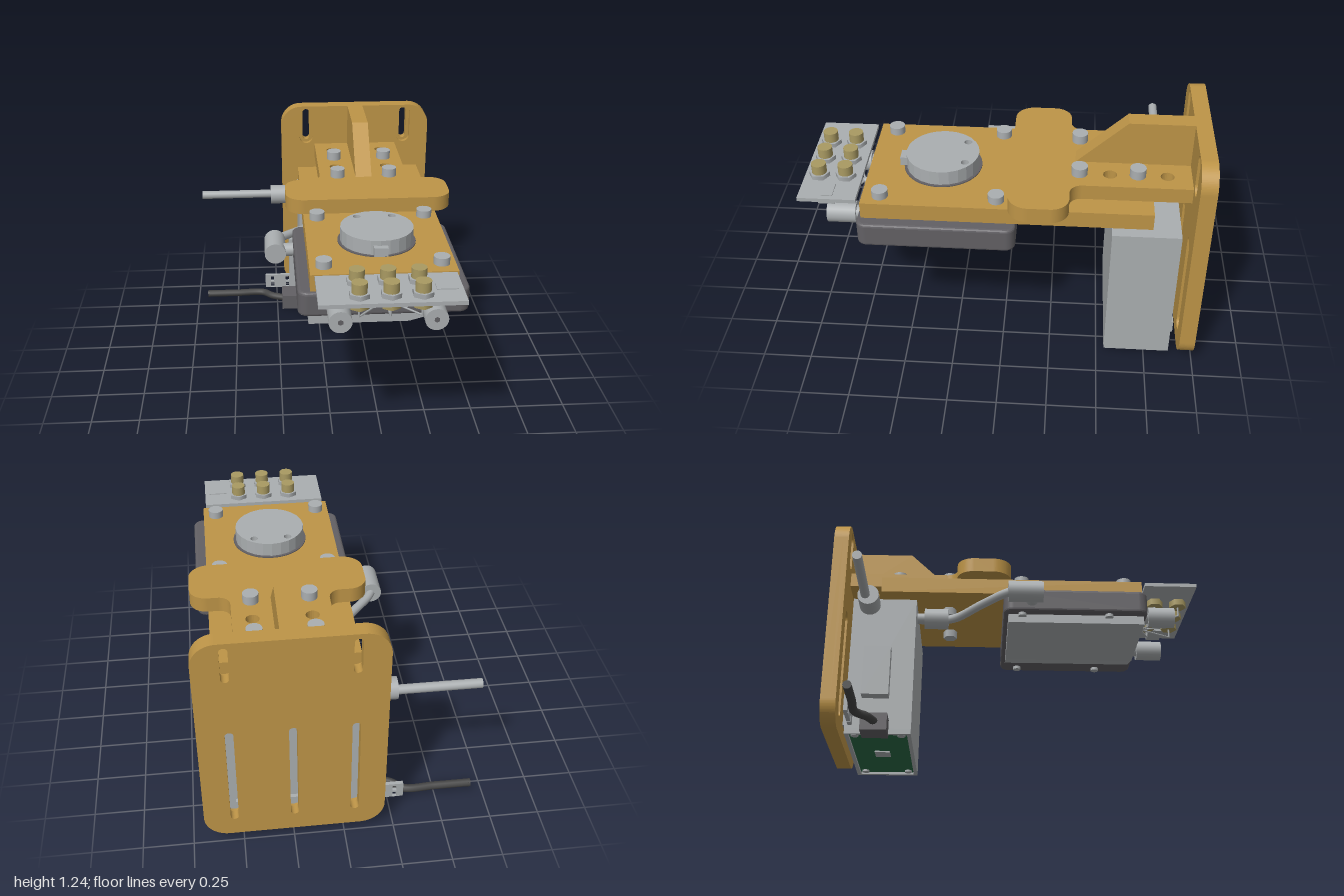
import * as THREE from 'three';

const mat = (name, color) => Object.assign(new THREE.MeshStandardMaterial({ color }), { name });

export function createModel() {
  const root = new THREE.Group();
  const tan = mat('tan bracket', 0xbd9447), grey = mat('light grey metal', 0xaaaeb0);
  const dark = mat('dark grey housing', 0x626064), black = mat('black cable', 0x454545);
  const gold = mat('brass', 0xa99a62), green = mat('green board', 0x2a6a46);

  const add = (name, geo, m) => {
    const mesh = new THREE.Mesh(geo, m);
    mesh.name = name;
    root.add(mesh);
    return mesh;
  };
  // Box given by its limits on each axis
  const box = (name, m, x0, x1, y0, y1, z0, z1) =>
    add(name, new THREE.BoxGeometry(x1 - x0, y1 - y0, z1 - z0), m)
      .position.set((x0 + x1) / 2, (y0 + y1) / 2, (z0 + z1) / 2);
  // Cylinder between two points
  const rod = (name, m, a, b, r, sides = 24) => {
    const p = new THREE.Vector3(...a), q = new THREE.Vector3(...b);
    const mesh = add(name, new THREE.CylinderGeometry(r, r, p.distanceTo(q), sides), m);
    mesh.position.copy(p).lerp(q, 0.5);
    mesh.quaternion.setFromUnitVectors(new THREE.Vector3(0, 1, 0), q.sub(p).normalize());
  };
  const tube = (name, m, pts, r) => add(name, new THREE.TubeGeometry(
    new THREE.CatmullRomCurve3(pts.map(p => new THREE.Vector3(...p))), 32, r, 12), m);
  // Rounded rectangle outline
  const rounded = (x0, x1, y0, y1, r, P = THREE.Shape) => {
    const s = new P();
    s.absarc(x1 - r, y0 + r, r, -Math.PI / 2, 0);
    s.absarc(x1 - r, y1 - r, r, 0, Math.PI / 2);
    s.absarc(x0 + r, y1 - r, r, Math.PI / 2, Math.PI);
    s.absarc(x0 + r, y0 + r, r, Math.PI, Math.PI * 1.5);
    s.closePath();
    return s;
  };
  const slot = (x, y0, y1, w) => rounded(x - w, x + w, y0, y1, w - 0.0005, THREE.Path);
  const circle = (x, y, r) => new THREE.Path().absarc(x, y, r, 0, Math.PI * 2);
  const extrude = (shape, depth) =>
    new THREE.ExtrudeGeometry(shape, { depth, bevelEnabled: false, curveSegments: 12 });
  // Horizontal slab: outline in (x, -z), extruded upwards
  const slab = (name, m, shape, y0, y1) =>
    add(name, extrude(shape, y1 - y0).rotateX(-Math.PI / 2), m).position.y = y0;

  // Wall plate: solid rear layer, front layer with wider slot recesses
  for (const [z, depth, w, e] of [[-1, 0.05, 0.02, 0], [-0.95, 0.03, 0.04, 0.015]]) {
    const s = rounded(-0.2, 0.69, 0.05, 1.235, 0.12);
    for (const x of [-0.05, 0.54]) s.holes.push(slot(x, 1.02 - e, 1.21 + e, w));
    for (const x of [-0.05, 0.245, 0.54]) s.holes.push(slot(x, 0.15 - e, 0.72 + e, w));
    add('wallPlate', extrude(s, depth), tan).position.z = z;
  }

  // T-shaped arm with screw holes
  const arm = new THREE.Shape();
  arm.moveTo(0, 0.925);
  arm.lineTo(0, 0.39);
  arm.absarc(-0.06, 0.385, 0.06, 0, -Math.PI / 2, true);
  arm.absarc(-0.11, 0.235, 0.09, Math.PI / 2, Math.PI);
  arm.absarc(-0.1, 0.13, 0.1, Math.PI, Math.PI * 1.5);
  arm.absarc(0.59, 0.13, 0.1, -Math.PI / 2, 0);
  arm.absarc(0.6, 0.235, 0.09, 0, Math.PI / 2);
  arm.absarc(0.55, 0.385, 0.06, -Math.PI / 2, -Math.PI, true);
  arm.lineTo(0.49, 0.925);
  for (const x of [0.1, 0.39]) for (const d of [0.8, 0.52]) arm.holes.push(circle(x, d, 0.034));
  slab('arm', tan, arm, 0.92, 1.0);

  // Gusset rib between wall plate and arm
  const rib = new THREE.Shape([[-0.925, 0.99], [-0.35, 0.99], [-0.35, 1.0], [-0.6, 1.235], [-0.925, 1.235]]
    .map(p => new THREE.Vector2(...p)));
  add('gussetRib', extrude(rib, 0.09).rotateY(-Math.PI / 2), tan).position.x = 0.29;

  // Mounting plate under the arm, with bolts
  box('mountingPlate', tan, -0.11, 0.6, 0.833, 0.92, -0.735, 0.69);
  for (const x of [-0.04, 0.53]) for (const z of [0.03, 0.6])
    rod('plateBolt', grey, [x, 0.92, z], [x, 0.96, z], 0.04);
  for (const x of [0.1, 0.39]) for (const z of [-0.37, -0.655]) {
    rod('armBolt', grey, [x, 1.0, z], [x, 1.047, z], 0.04);
    rod('armNut', grey, [x, 0.79, z], [x, 0.835, z], 0.04, 6);
  }

  // Round puck with pin holes and a key
  rod('puckRim', dark, [0.245, 0.915, 0.32], [0.245, 0.925, 0.32], 0.198, 48);
  const puck = new THREE.Shape().absarc(0.245, -0.32, 0.185, 0, Math.PI * 2);
  for (const x of [0.155, 0.335]) puck.holes.push(circle(x, -0.2, 0.02));
  slab('puck', grey, puck, 0.92, 1.0);
  box('puckKey', grey, 0.21, 0.28, 0.93, 0.975, 0.48, 0.535);

  // Dark sensor housing with softened edges
  const housing = new THREE.ExtrudeGeometry(rounded(-0.155, 0.645, -0.695, 0.055, 0.035), {
    depth: 0.098, bevelThickness: 0.015, bevelSize: 0.015, bevelSegments: 3, curveSegments: 8,
  }).rotateX(-Math.PI / 2);
  add('sensorHousing', housing, dark).position.y = 0.72;
  const cover = new THREE.Shape([[-0.12, 0.657], [0.37, 0.657], [0.54, 0.706], [-0.12, 0.706]]
    .map(p => new THREE.Vector2(...p)));
  add('sensorCover', extrude(cover, 0.735), grey).position.z = -0.045;
  for (const x of [-0.13, 0.6]) for (const z of [0.03, 0.5])
    rod('coverScrew', grey, [x, 0.688, z], [x, 0.71, z], 0.022);

  // Round connectors and ports on the housing front
  for (const x of [0.02, 0.47]) {
    rod('connectorNeck', grey, [x, 0.767, 0.7], [x, 0.767, 0.74], 0.035);
    rod('frontConnector', grey, [x, 0.767, 0.735], [x, 0.767, 0.88], 0.056);
    rod('connectorPin', dark, [x, 0.767, 0.87], [x, 0.767, 0.883], 0.014, 6);
  }
  for (const x of [0.14, 0.35]) rod('frontPort', dark, [x, 0.77, 0.7], [x, 0.77, 0.715], 0.033);

  // Side connector, link cable and the connector at the control box
  rod('sideConnector', grey, [-0.265, 0.767, -0.05], [-0.265, 0.767, 0.135], 0.056);
  rod('connectorNeck', grey, [-0.24, 0.767, 0.08], [-0.15, 0.767, 0.08], 0.035);
  tube('linkCable', grey, [[-0.265, 0.765, -0.04], [-0.24, 0.76, -0.08], [-0.14, 0.748, -0.19],
    [-0.02, 0.728, -0.32], [0.01, 0.725, -0.38]], 0.023);
  rod('boxConnector', grey, [0.01, 0.73, -0.37], [0.01, 0.73, -0.5], 0.056);
  rod('connectorNeck', grey, [0.01, 0.73, -0.49], [0.01, 0.73, -0.55], 0.03);

  // Control box with an open base showing a circuit board
  box('controlBox', grey, -0.11, 0.6, 0.045, 0.785, -0.88, -0.54);
  const rim = rounded(-0.11, 0.6, 0.54, 0.88, 0.002);
  rim.holes.push(rounded(-0.09, 0.58, 0.56, 0.86, 0.01, THREE.Path));
  slab('baseRim', grey, rim, 0.017, 0.045);
  box('circuitBoard', green, -0.09, 0.58, 0.03, 0.046, -0.86, -0.56);
  box('chip', grey, 0.2, 0.28, 0.022, 0.031, -0.75, -0.67);
  for (const x of [-0.06, 0.55]) for (const z of [-0.83, -0.59])
    rod('boardScrew', grey, [x, 0.02, z], [x, 0.032, z], 0.02);
  box('rearFoot', grey, -0.03, 0.53, 0.09, 0.16, -0.9, -0.88);
  box('sideModule', grey, -0.172, -0.11, 0.21, 0.48, -0.8, -0.66);

  // Upper cable and its connector
  rod('connectorNeck', grey, [-0.16, 0.728, -0.795], [-0.1, 0.728, -0.795], 0.032);
  rod('upperConnector', grey, [-0.275, 0.728, -0.785], [-0.148, 0.728, -0.785], 0.056);
  rod('upperCable', grey, [-0.69, 0.728, -0.8], [-0.27, 0.728, -0.8], 0.024);

  // Lower plug, cable and perforated strain relief
  box('lowerPlug', dark, -0.22, -0.09, 0.0, 0.09, -0.79, -0.655);
  tube('lowerCable', black, [[-0.69, 0.048, -0.8], [-0.5, 0.048, -0.8], [-0.34, 0.048, -0.8],
    [-0.28, 0.048, -0.75], [-0.21, 0.048, -0.72]], 0.021);
  rod('cableEnd', black, [-0.69, 0.048, -0.8], [-0.68, 0.048, -0.8], 0.021);
  const relief = rounded(-0.322, -0.11, 0.06, 0.147, 0.004);
  for (const x of [-0.278, -0.182]) for (const y of [0.075, 0.118])
    relief.holes.push(rounded(x - 0.011, x + 0.011, y - 0.016, y + 0.016, 0.002, THREE.Path));
  add('strainRelief', extrude(relief, 0.02), grey).position.z = -0.862;

  // Front terminal board with six posts and their leads
  box('terminalBoard', grey, -0.09, 0.585, 0.907, 0.927, 0.712, 1.0);
  for (const x of [0.1, 0.245, 0.39]) for (const z of [0.793, 0.926]) {
    rod('postNut', grey, [x, 0.926, z], [x, 0.95, z], 0.052, 6);
    rod('terminalPost', gold, [x, 0.94, z], [x, 1.0, z], 0.037);
    rod('postBase', gold, [x, 0.872, z], [x, 0.908, z], 0.048, 6);
    rod('lead', grey, [x, 0.82, z], [x, 0.875, z], 0.005, 8);
    rod('lead', grey, [x, 0.822, z], [0.245, 0.8, 0.73], 0.005, 8);
  }
  rod('leadEntry', grey, [0.245, 0.8, 0.7], [0.245, 0.8, 0.735], 0.016);
  box('boardSocket', grey, 0.44, 0.57, 0.888, 0.907, 0.82, 0.9);
  box('boardSwitch', grey, 0.46, 0.56, 0.926, 0.932, 0.83, 0.886);
  return root;
}
